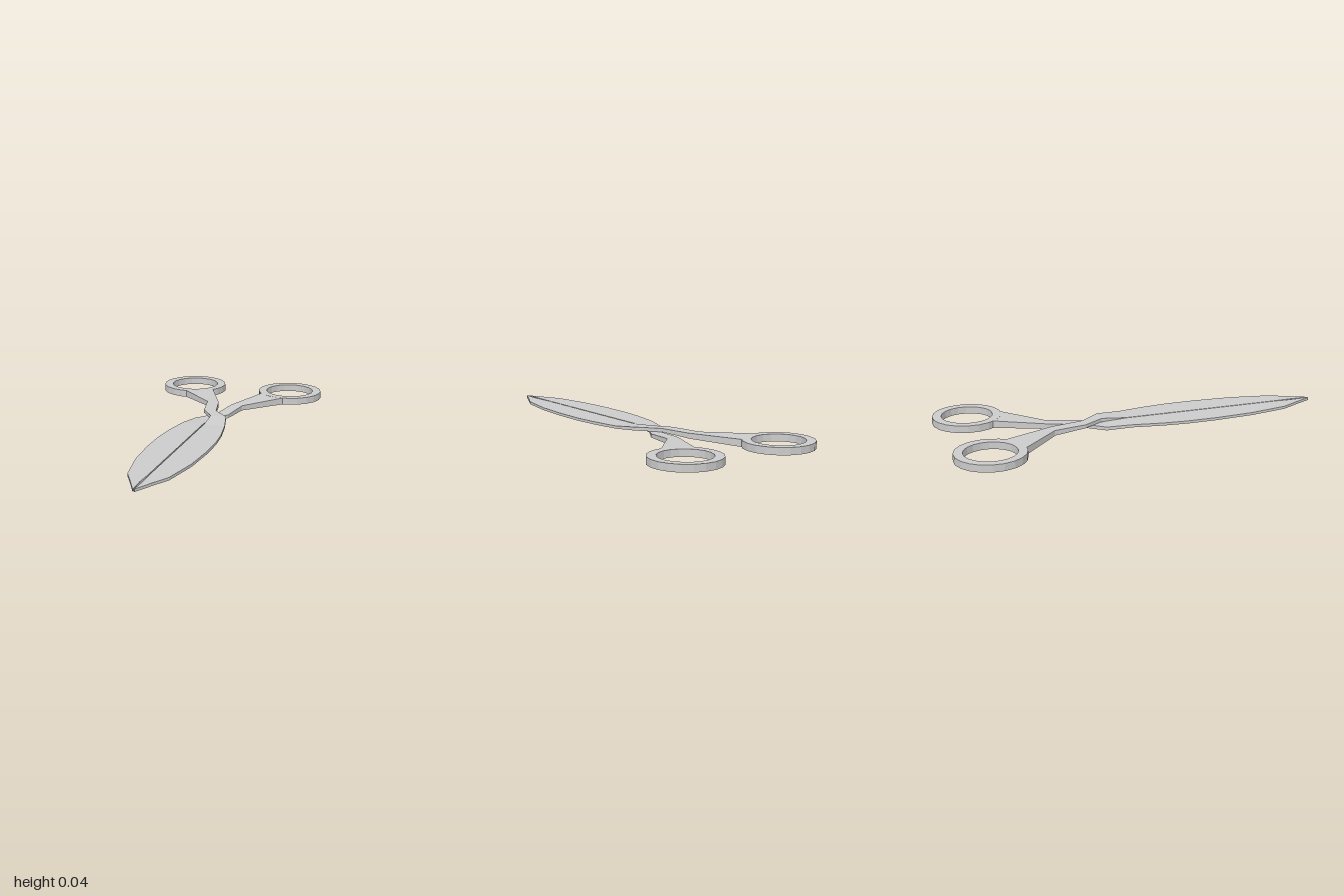
import * as THREE from 'three';

const HEIGHT = 0.037;
const MID = HEIGHT / 2;
const material = new THREE.MeshStandardMaterial({ color: 0xcccccc, flatShading: true });

// Lofts four-cornered sections: [left x, left z, right x, right z, bottom y, top y]
function loft(sections) {
  const positions = [];
  const index = [];
  for (const [lx, lz, rx, rz, y0, y1] of sections) {
    positions.push(lx, y0, lz, rx, y0, rz, rx, y1, rz, lx, y1, lz);
  }
  for (let i = 0; i < sections.length - 1; i++) {
    for (let j = 0; j < 4; j++) {
      const a = i * 4 + j;
      const b = i * 4 + (j + 1) % 4;
      index.push(a, b, b + 4, a, b + 4, a + 4);
    }
  }
  const e = (sections.length - 1) * 4;
  index.push(0, 2, 1, 0, 3, 2, e, e + 1, e + 2, e, e + 2, e + 3);
  const geometry = new THREE.BufferGeometry();
  geometry.setAttribute('position', new THREE.Float32BufferAttribute(positions, 3));
  geometry.setIndex(index);
  const flat = geometry.toNonIndexed();
  flat.computeVertexNormals();
  return flat;
}

// Flat finger ring with a round hole
function ringGeometry(x, z, outer, inner, sides) {
  const circle = (r) => Array.from({ length: sides }, (_, i) => {
    const a = (i + 0.5) / sides * Math.PI * 2;
    return new THREE.Vector2(x + r * Math.cos(a), -z + r * Math.sin(a));
  });
  const shape = new THREE.Shape(circle(outer));
  shape.holes.push(new THREE.Path(circle(inner)));
  return new THREE.ExtrudeGeometry(shape, { depth: HEIGHT, bevelEnabled: false })
    .rotateX(-Math.PI / 2);
}

function part(name, geometry) {
  const mesh = new THREE.Mesh(geometry, material);
  mesh.name = name;
  return mesh;
}

// One half: ring on the -x side, shank crossing over to a blade on the +x side
function scissorHalf(name) {
  const half = new THREE.Group();
  half.name = name;
  half.add(part('fingerRing', ringGeometry(-0.285, -0.822, 0.178, 0.132, 20)));

  // Shank thins from below so that the two halves pass each other
  const crossing = [0, -0.18, 0.085, -0.18, 0.019, HEIGHT];
  half.add(part('shank', loft([
    [-0.285, -0.645, -0.145, -0.715, 0, HEIGHT],
    [-0.1, -0.455, -0.035, -0.455, 0.01, HEIGHT],
    [-0.068, -0.285, 0, -0.285, 0.019, HEIGHT],
    crossing,
  ])));

  // Blade outline as [z, cutting edge x, outer edge x]
  const outline = [
    [-0.05, 0.003, 0.115], [0.1, 0.003, 0.14], [0.23, 0.003, 0.152], [0.4, 0.003, 0.152],
    [0.6, 0.003, 0.139], [0.81, 0.003, 0.1], [0.9, 0.006, 0.054], [1, 0.003, 0.005],
  ];
  half.add(part('blade', loft([
    crossing,
    ...outline.map(([z, inner, outer]) => [inner, z, outer, z, MID - 0.007, MID + 0.007]),
  ])));
  return half;
}

export function createModel() {
  const model = new THREE.Group();
  model.name = 'scissors';
  const upper = scissorHalf('upperHalf');

  // The lower half is the same piece turned over about the long axis
  const lower = scissorHalf('lowerHalf');
  lower.rotation.z = Math.PI;
  lower.position.y = HEIGHT;

  model.add(upper, lower);
  return model;
}
